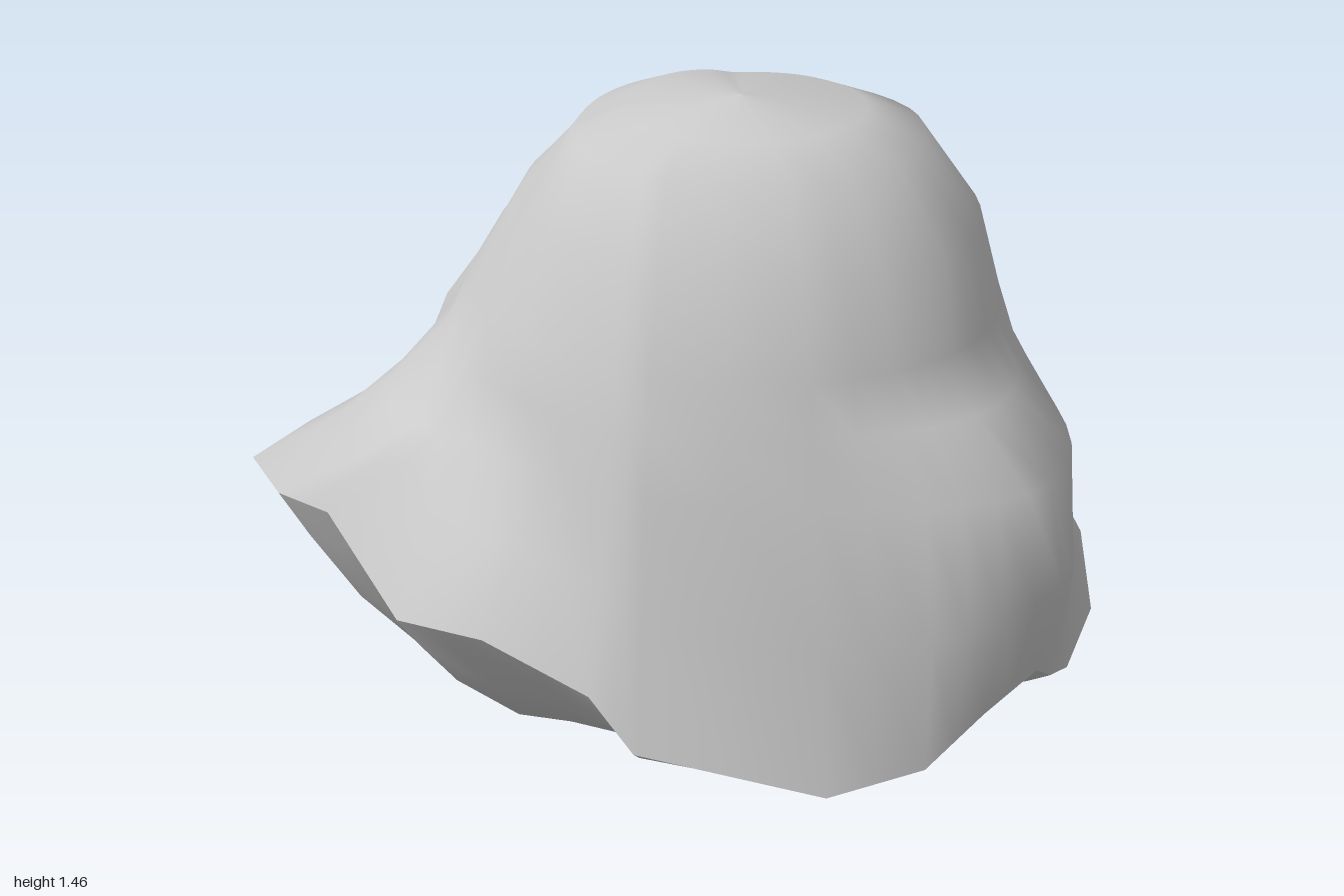
import * as THREE from 'three';

// Jagged rim where the upper slopes meet the underside, as x, y, z going round from +x to +z
const corners = [
  [0.93, 0.3, -0.02], [0.9, 0.24, 0.12], [0.85, 0.14, 0.25], [0.74, 0.11, 0.44], [0.45, 0.22, 0.72],
  [0.36, 0.34, 0.76], [0.17, 0.45, 0.88], [0.02, 0.48, 0.98], [-0.23, 0.63, 0.95], [-0.33, 0.66, 1],
  [-0.64, 0.58, 0.84], [-0.73, 0.56, 0.61], [-0.73, 0.46, 0.36], [-0.89, 0.44, 0.21], [-0.98, 0.46, -0.05],
  [-0.92, 0.48, -0.12], [-0.83, 0.38, -0.38], [-0.83, 0.45, -0.64], [-0.71, 0.6, -0.85], [-0.56, 0.69, -0.94],
  [-0.39, 0.6, -0.93], [-0.23, 0.65, -1], [0, 0.56, -0.89], [0.12, 0.51, -0.86], [0.31, 0.42, -0.86],
  [0.38, 0.26, -0.7], [0.56, 0.24, -0.69], [0.72, 0.16, -0.52], [0.78, 0.1, -0.35], [0.84, 0.17, -0.2],
].map((p) => new THREE.Vector3(...p));
// Add the middle of each rim edge so the slopes shade smoothly
const rim = corners.flatMap((p, i) => [p, p.clone().lerp(corners[(i + 1) % corners.length], 0.5)]);

// Radii every 30 degrees from +x towards +z, at rising heights
const levels = [
  { y: 0.75, r: [0.94, 0.77, 0.72, 0.67, 0.76, 0.68, 0.82, 0.88, 0.8, 0.7, 0.66, 0.76] },
  { y: 0.88, r: [0.79, 0.72, 0.68, 0.64, 0.62, 0.59, 0.7, 0.67, 0.56, 0.6, 0.6, 0.68] },
  { y: 1.0, r: [0.72, 0.71, 0.66, 0.6, 0.56, 0.53, 0.61, 0.58, 0.52, 0.56, 0.56, 0.64] },
  { y: 1.2, r: [0.68, 0.65, 0.59, 0.52, 0.44, 0.41, 0.42, 0.44, 0.41, 0.42, 0.46, 0.58] },
  { y: 1.37, r: [0.54, 0.55, 0.5, 0.42, 0.3, 0.24, 0.21, 0.18, 0.15, 0.2, 0.31, 0.45] },
];
// How far the skirt swells or hollows between the rim and the first level
const skirtSwell = [1.05, 1, 0.97, 0.95, 0.97, 0.97, 1, 0.98, 0.97, 0.95, 0.95, 1];

const angleOf = (p) => (Math.atan2(p.z, p.x) + Math.PI * 2) % (Math.PI * 2);

// Smooth periodic lookup in a 12-entry table
function sample(table, angle) {
  const f = (angle / (Math.PI * 2)) * 12;
  const i = Math.floor(f);
  const t = f - i;
  const [a, b, c, d] = [-1, 0, 1, 2].map((k) => table[(i + k + 12) % 12]);
  return b + 0.5 * t * (c - a + t * (2 * a - 5 * b + 4 * c - d + t * (3 * (b - c) + d - a)));
}

const polar = (angle, r, y) => new THREE.Vector3(Math.cos(angle) * r, y, Math.sin(angle) * r);

// Skin a stack of closed loops, listed from top to bottom
function skin(loops) {
  const n = loops[0].length;
  const index = [];
  for (let j = 0; j < loops.length - 1; j++) {
    for (let i = 0; i < n; i++) {
      const a = j * n + i;
      const b = j * n + ((i + 1) % n);
      index.push(a, b, a + n, b, b + n, a + n);
    }
  }
  const geometry = new THREE.BufferGeometry().setFromPoints(loops.flat());
  geometry.setIndex(index);
  geometry.computeVertexNormals();
  return geometry;
}

export function createModel() {
  const stone = new THREE.MeshStandardMaterial({ color: 0xcacaca });
  stone.name = 'light grey stone';
  const rock = new THREE.Group();
  rock.name = 'rock';

  // Upper slopes: summit, crown, levels, skirt, rim
  const rings = levels.map(({ y, r }) => rim.map((p) => polar(angleOf(p), sample(r, angleOf(p)), y)));
  const summit = new THREE.Vector3(0.2, 1.46, 0.13);
  const crown = rings.at(-1).map((p) => {
    const q = p.clone().lerp(summit, 0.32);
    q.y = 1.425;
    return q;
  });
  const skirt = rim.map((p, i) => {
    const q = p.clone().lerp(rings[0][i], 0.5);
    const swell = sample(skirtSwell, angleOf(p));
    return q.set(q.x * swell, q.y, q.z * swell);
  });
  const tip = rim.map(() => summit.clone());
  const upper = new THREE.Mesh(skin([tip, crown, ...rings.reverse(), skirt, rim]), stone);
  upper.name = 'upperSlopes';

  // Underside: a shallow bowl with an undercut and a lump below the back rim
  const profile = [[0.94, 0.82, -0.05], [0.84, 0.55, 0.15], [0.66, 0.2, 0.12], [0.36, 0.03, 0], [0, 0, 0]];
  const bowl = profile.map(([scale, drop, lump]) =>
    rim.map((p) => {
      const bulge = Math.exp(-(((angleOf(p) - 4.36) / 0.27) ** 2));
      const s = scale + lump * bulge;
      return new THREE.Vector3(p.x * s, p.y * drop * (1 - 0.28 * bulge), p.z * s);
    }));
  const under = new THREE.Mesh(skin([rim, ...bowl]), stone);
  under.name = 'underside';

  rock.add(upper, under);
  return rock;
}
